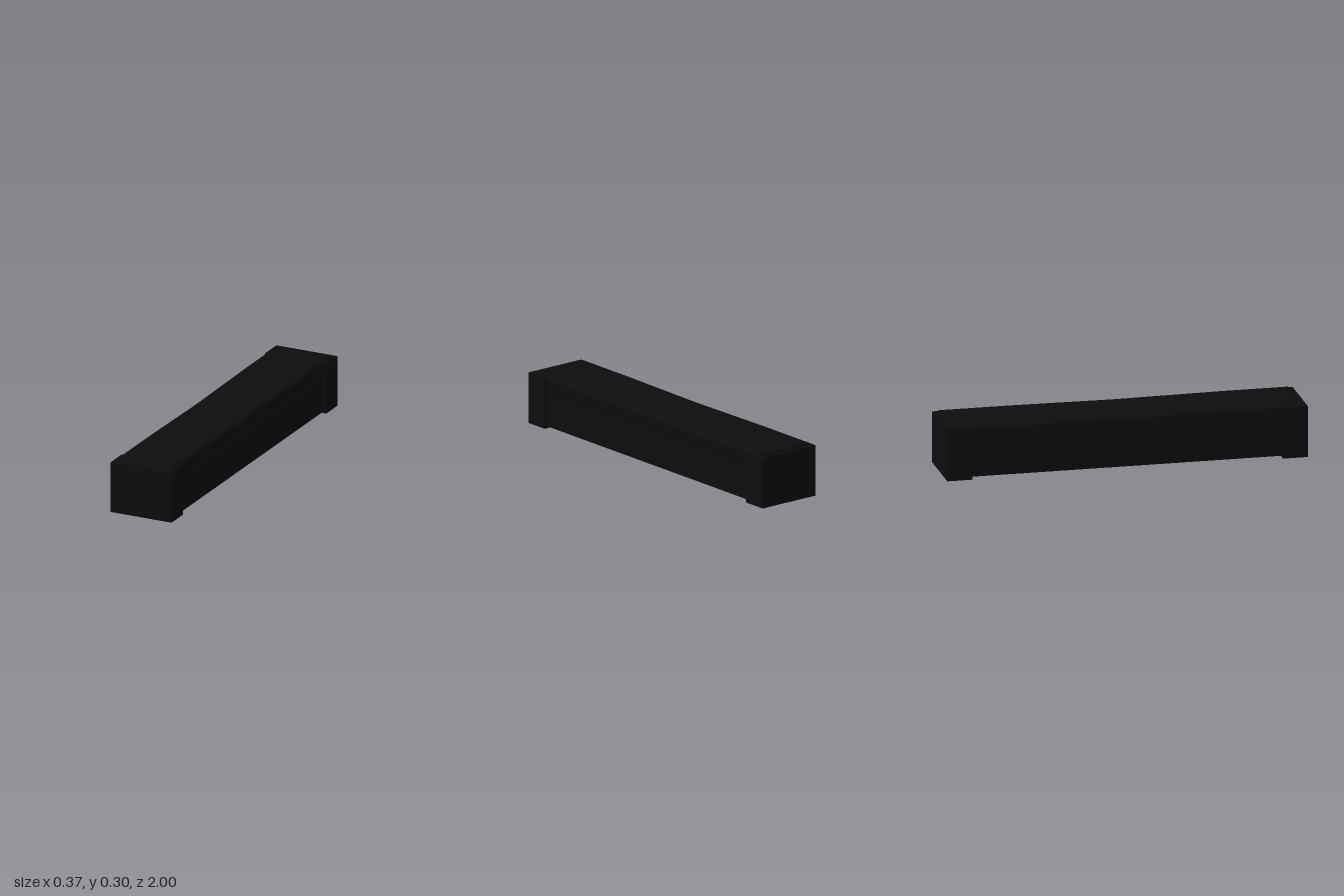
import * as THREE from 'three';
import { toCreasedNormals } from 'three/addons/utils/BufferGeometryUtils.js';

export function createModel() {
  const model = new THREE.Group();
  model.name = 'bench';

  const black = new THREE.MeshStandardMaterial({ color: 0x0d0d0d });
  black.name = 'black';

  function add(name, geometry, x = 0, y = 0, z = 0) {
    const mesh = new THREE.Mesh(geometry, black);
    mesh.name = name;
    mesh.position.set(x, y, z);
    model.add(mesh);
  }

  // Solid block legs at both ends
  for (const [name, side] of [['frontLeg', 1], ['backLeg', -1]]) {
    add(name, new THREE.BoxGeometry(0.37, 0.285, 0.14), 0, 0.1425, side * 0.93);
  }

  // Beam hanging just clear of the floor between the legs
  add('beam', new THREE.BoxGeometry(0.345, 0.2, 1.74), 0, 0.113, 0);

  // Cushion: rounded cross-section swept along the bench
  const half = [
    [0.155, 0.208], [0.168, 0.214], [0.174, 0.225], [0.175, 0.282],
    [0.17, 0.291], [0.163, 0.296], [0.152, 0.299], [0.1, 0.299], [0.03, 0.297],
  ];
  const outline = [...half, ...half.map(([x, y]) => [-x, y]).reverse()];
  const section = new THREE.Shape(outline.map(([x, y]) => new THREE.Vector2(x, y)));
  const cushion = new THREE.ExtrudeGeometry(section, {
    depth: 1.93, steps: 16, bevelEnabled: true, bevelSegments: 2,
    bevelSize: 0.01, bevelThickness: 0.008, bevelOffset: -0.01,
  });
  cushion.translate(0, 0, -0.965);

  // Slight sag and narrowing towards the middle
  const p = cushion.attributes.position;
  for (let i = 0; i < p.count; i++) {
    const mid = Math.max(0, 1 - Math.abs(p.getZ(i)) / 0.6);
    p.setX(i, p.getX(i) * (1 - 0.02 * mid));
    if (p.getY(i) > 0.25) p.setY(i, p.getY(i) - 0.004 * mid);
  }
  add('cushion', toCreasedNormals(cushion, 0.6));

  return model;
}
